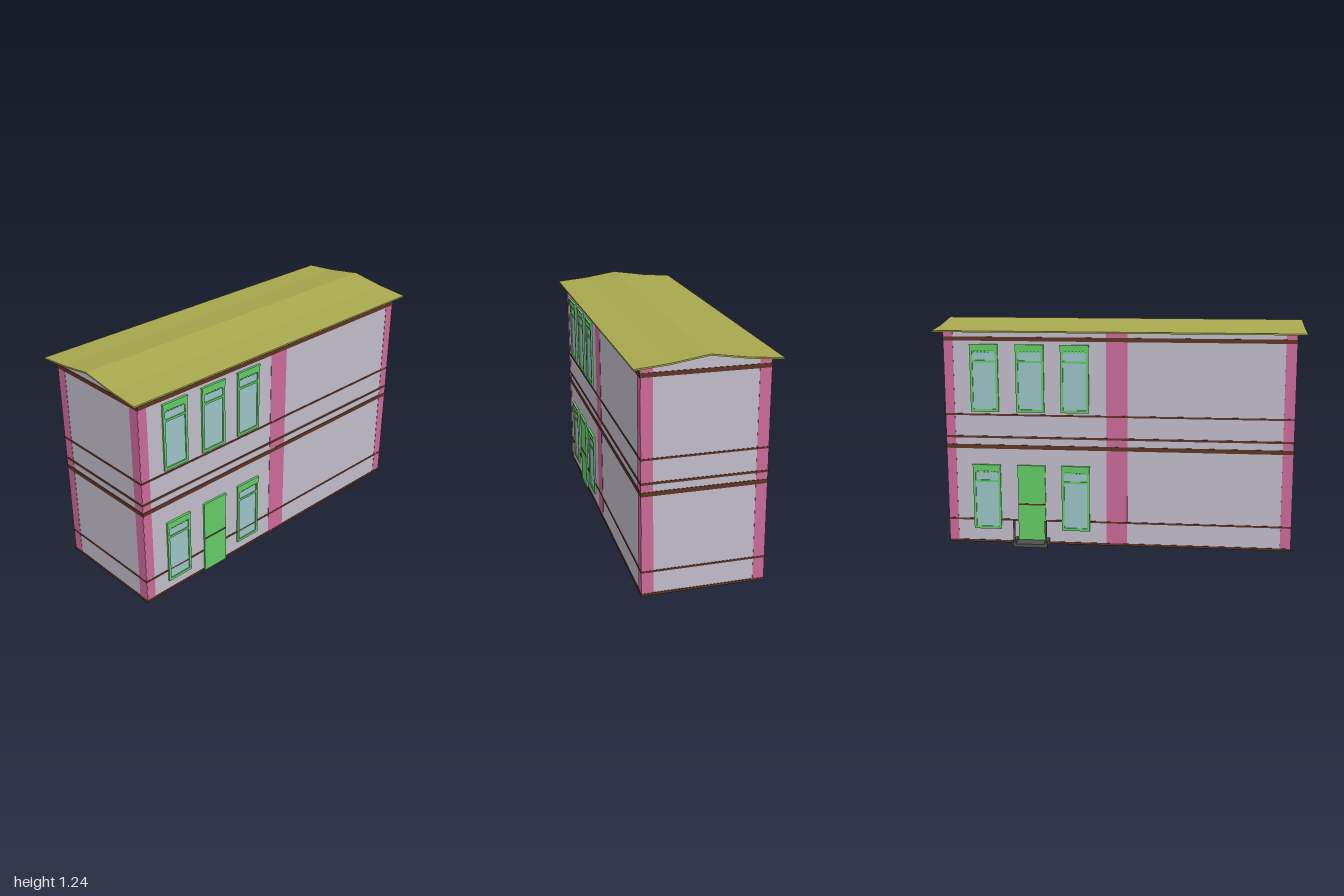
import * as THREE from 'three';

const mat = (color) => new THREE.MeshStandardMaterial({ color, side: THREE.DoubleSide });
const WALL = mat(0xc2bdca), PINK = mat(0xcc6a9a), BROWN = mat(0x5e3424), GREEN = mat(0x62cc66);
const GLASS = mat(0x9cc4c8), ROOF = mat(0xa8a84e), DARK = mat(0x505050);

// Body: half width, half length, eave height, and its x offset
const HX = 0.322, HZ = 0.952, EAVE = 1.19, CX = 0.022;

function add(parent, name, geometry, material, x = 0, y = 0, z = 0) {
  const mesh = new THREE.Mesh(geometry, material);
  mesh.name = name;
  mesh.position.set(x, y, z);
  parent.add(mesh);
  return mesh;
}

// Box given by its minimum and maximum corners
function box(parent, name, material, [x0, y0, z0], [x1, y1, z1]) {
  return add(parent, name, new THREE.BoxGeometry(x1 - x0, y1 - y0, z1 - z0), material,
    (x0 + x1) / 2, (y0 + y1) / 2, (z0 + z1) / 2);
}

// Rectangular ring, extruded along z
function ring(w, h, wHole, hHole, depth) {
  const rect = (C, a, b) => {
    const p = [[-a, -b], [a, -b], [a, b], [-a, b]].map(([x, y]) => new THREE.Vector2(x / 2, y / 2));
    return new C(p);
  };
  const shape = rect(THREE.Shape, w, h);
  shape.holes.push(rect(THREE.Path, wHole, hHole));
  return new THREE.ExtrudeGeometry(shape, { depth, bevelEnabled: false });
}

// Window on the +x wall: frame, glass, transom, header and dentils
function addWindow(parent, z, y0, y1) {
  const g = new THREE.Group();
  g.name = 'window';
  g.position.set(HX, (y0 + y1) / 2, z);
  parent.add(g);
  const w = 0.155, h = y1 - y0, top = h / 2;
  add(g, 'windowFrame', ring(w, h, w - 0.028, h - 0.03, 0.012).rotateY(Math.PI / 2), GREEN, -0.003);
  add(g, 'glass', new THREE.PlaneGeometry(w - 0.02, h - 0.02).rotateY(Math.PI / 2), GLASS, 0.003);
  box(g, 'transom', GREEN, [0.003, top - 0.1, -0.066], [0.008, top - 0.088, 0.066]);
  box(g, 'header', GREEN, [0, top - 0.037, -w / 2], [0.011, top, w / 2]);
  box(g, 'headerCap', GREEN, [0, top - 0.008, -w / 2 - 0.002], [0.013, top, w / 2 + 0.002]);
  for (let i = -3; i <= 3; i++) {
    box(g, 'dentil', GREEN, [0.003, top - 0.045, i * 0.019 - 0.005], [0.009, top - 0.037, i * 0.019 + 0.005]);
  }
}

// One long side, facing +x, with its openings
function makeFacade(lift) {
  const g = new THREE.Group();
  g.name = 'facade';
  add(g, 'sideWall', new THREE.PlaneGeometry(2 * HZ, EAVE).rotateY(Math.PI / 2), WALL, HX, EAVE / 2, 0);
  for (const [a, b] of [[-HZ, -0.895], [-0.055, 0.06], [0.9, HZ]]) {
    box(g, 'pilaster', PINK, [HX - 0.0015, 0, a], [HX + 0.0015, EAVE, b]);
  }
  for (const z of [0.232, 0.478, 0.73]) {
    addWindow(g, z, 0.748, 1.12);
    if (z !== 0.478) addWindow(g, z, 0.065 + lift, 0.435 + lift);
  }
  const base = 0.002 + lift;
  box(g, 'door', GREEN, [HX + 0.001, base, 0.401], [HX + 0.009, 0.435 + lift, 0.555]);
  add(g, 'doorFrame', ring(0.155, 0.433, 0.143, 0.42, 0.008).rotateY(Math.PI / 2), GREEN, HX - 0.003, base + 0.2165, 0.478);
  box(g, 'doorHeader', GREEN, [HX, 0.42 + lift, 0.399], [HX + 0.012, 0.435 + lift, 0.557]);
  box(g, 'doorStrip', BROWN, [HX + 0.005, 0.208 + lift, 0.401], [HX + 0.011, 0.216 + lift, 0.555]);
  return g;
}

export function createModel() {
  const model = new THREE.Group();
  model.name = 'house';
  const body = new THREE.Group();
  body.name = 'body';
  body.position.x = CX;
  model.add(body);

  // Long sides: the second is the first turned half round
  body.add(makeFacade(0));
  const other = makeFacade(0.015);
  other.rotation.y = Math.PI;
  body.add(other);

  // Gable ends with corner pilasters
  const gable = new THREE.Shape([[-HX, 0], [HX, 0], [HX, EAVE], [0.19, 1.203], [0, 1.232], [-0.19, 1.203], [-HX, EAVE]]
    .map(([x, y]) => new THREE.Vector2(x, y)));
  for (const s of [1, -1]) {
    const end = new THREE.Group();
    end.name = 'gableEnd';
    end.rotation.y = s > 0 ? 0 : Math.PI;
    body.add(end);
    add(end, 'gableWall', new THREE.ShapeGeometry(gable), WALL, 0, 0, HZ);
    for (const m of [1, -1]) {
      box(end, 'cornerPilaster', PINK, [m * (HX - 0.03) - 0.03, 0, HZ - 0.0015], [m * (HX - 0.03) + 0.03, EAVE, HZ + 0.0015]);
    }
  }

  // Horizontal bands running round the whole building
  for (const [y0, y1] of [[0, 0.013], [0.128, 0.138], [0.54, 0.563], [0.6, 0.612], [0.726, 0.736], [1.138, 1.16]]) {
    const geo = ring(2 * HX + 0.006, 2 * HZ + 0.006, 2 * HX - 0.006, 2 * HZ - 0.006, y1 - y0);
    add(body, 'band', geo.rotateX(-Math.PI / 2), BROWN, 0, y0, 0);
  }

  // Shallow roof with a kink in each slope
  const upper = [[-0.365, 1.195], [-0.19, 1.211], [0, 1.24], [0.19, 1.211], [0.365, 1.195]];
  const lower = upper.map(([x, y]) => [x, y - 0.008]).reverse();
  const profile = new THREE.Shape([...upper, ...lower].map(([x, y]) => new THREE.Vector2(x, y)));
  add(body, 'roof', new THREE.ExtrudeGeometry(profile, { depth: 2, bevelEnabled: false }), ROOF, 0, 0, -1);

  // Porch step with end curbs and posts
  const porch = new THREE.Group();
  porch.name = 'porch';
  model.add(porch);
  box(porch, 'porchSlab', DARK, [-0.388, 0.003, -0.573], [-0.302, 0.022, -0.38]);
  for (const z of [-0.573, -0.397]) {
    box(porch, 'porchCurb', DARK, [-0.388, 0.003, z], [-0.302, 0.036, z + 0.017]);
    box(porch, 'porchPost', DARK, [-0.386, 0.036, z + 0.003], [-0.378, 0.155, z + 0.014]);
  }
  return model;
}
